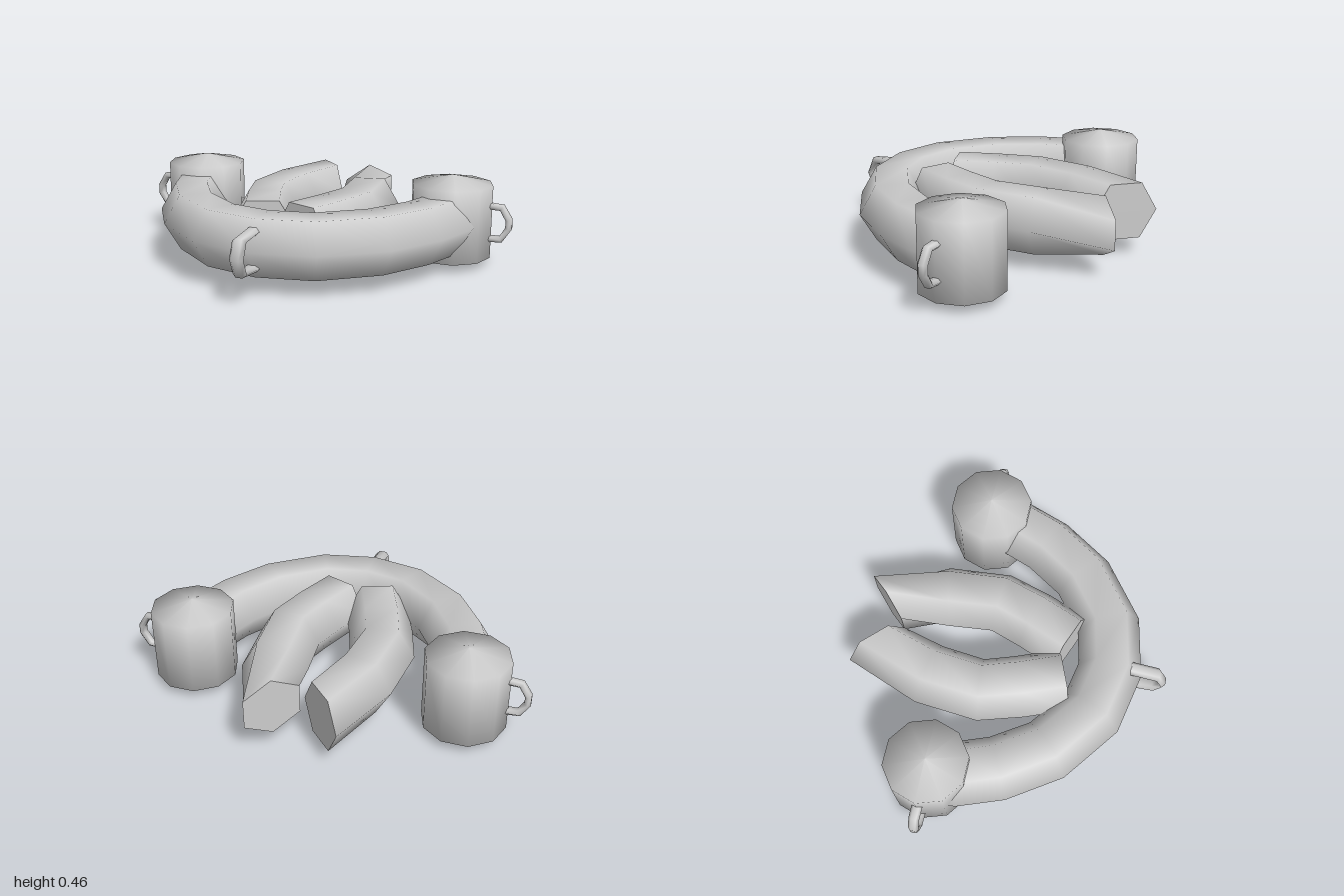
import * as THREE from 'three';

const SIDES = 6;
const MID = 0.228; // height of every centre line
const material = new THREE.MeshStandardMaterial({ color: 0xcccccc, side: THREE.DoubleSide });

// Hexagonal tube along a path in the local XY plane, smooth sides and flat end caps.
// rn: radius in the plane, rb: radius across it.
function sweep(path, rn, rb, { phase = 0, endDir = null, endTwist = 0, endRb = rb } = {}) {
  const pts = path.map(([x, y]) => new THREE.Vector3(x, y, 0));
  const b = new THREE.Vector3(0, 0, 1);
  const last = pts.length - 1;
  const pos = [], index = [];
  const rings = pts.map((c, i) => {
    const before = c.clone().sub(pts[Math.max(i - 1, 0)]).normalize();
    const after = pts[Math.min(i + 1, last)].clone().sub(c).normalize();
    let t = before.add(after).normalize();
    if (i === last && endDir) t = new THREE.Vector3(...endDir, 0).normalize();
    const n = b.clone().cross(t);
    return Array.from({ length: SIDES }, (_, j) => {
      const a = phase + (i === last ? endTwist : 0) + (j / SIDES) * Math.PI * 2;
      return c.clone().addScaledVector(n, Math.cos(a) * rn)
        .addScaledVector(b, Math.sin(a) * (i === last ? endRb : rb));
    });
  });
  rings.forEach((ring) => ring.forEach((p) => pos.push(p.x, p.y, p.z)));
  for (let i = 0; i < last; i++) {
    for (let j = 0; j < SIDES; j++) {
      const k = (j + 1) % SIDES;
      const p = i * SIDES + j, q = i * SIDES + k;
      index.push(p, q, q + SIDES, p, q + SIDES, p + SIDES);
    }
  }
  // Caps own their vertices so their rims stay sharp
  [[rings[0], true], [rings[last], false]].forEach(([ring, flip]) => {
    const s = pos.length / 3;
    ring.forEach((p) => pos.push(p.x, p.y, p.z));
    for (let j = 1; j < SIDES - 1; j++) {
      index.push(s, flip ? s + j + 1 : s + j, flip ? s + j : s + j + 1);
    }
  });
  const g = new THREE.BufferGeometry();
  g.setAttribute('position', new THREE.Float32BufferAttribute(pos, 3));
  g.setIndex(index);
  g.computeVertexNormals();
  return g;
}

// Turns a local XY path into one lying flat, with local y becoming z
const layFlat = (g) => g.rotateX(Math.PI / 2).translate(0, MID, 0);

export function createModel() {
  const group = new THREE.Group();
  const add = (name, geometry) => {
    const mesh = new THREE.Mesh(geometry, material);
    mesh.name = name;
    group.add(mesh);
    return mesh;
  };

  // Curved main tube, running from one drum round the front to the other
  const half = [[0.24, 0.45], [0.47, 0.275], [0.61, 0.06], [0.68, -0.13], [0.69, -0.24]];
  const arc = [...half.map(([x, z]) => [-x, z]).reverse(), [0, 0.5], ...half];
  add('curvedTube', layFlat(sweep(arc, 0.16, 0.16)));

  // Pair of bent prongs, the left one with a twisted end
  const prong = [[0.1, 0.28], [0.18, 0.08], [0.24, -0.11], [0.215, -0.38], [0.115, -0.675]];
  for (const side of [1, -1]) {
    add(side > 0 ? 'leftProng' : 'rightProng', layFlat(sweep(
      prong.map(([x, z]) => [x * side, z]), 0.161, 0.161,
      {
        endDir: [-0.7 * side, -0.7],
        endTwist: side > 0 ? Math.PI / 6 : 0,
        endRb: side > 0 ? 0.145 : 0.161,
      })));
  }

  // Ten-sided drums with shallow cone ends, and a grip on each outer side
  const drumProfile = [[0, 0], [0.205, 0.044], [0.205, 0.411], [0, 0.455]]
    .map(([r, y]) => new THREE.Vector2(r, y));
  const grip = [[0.17, 0.085], [0.255, 0.08], [0.291, 0.022],
    [0.291, -0.022], [0.255, -0.08], [0.17, -0.085]];
  for (const side of [1, -1]) {
    const label = side > 0 ? 'left' : 'right';
    const drum = add(label + 'Drum', new THREE.LatheGeometry(drumProfile, 10, Math.PI / 2));
    drum.position.set(0.69 * side, 0, -0.262);
    const handle = add(label + 'Handle', sweep(grip, 0.018, 0.026, { phase: Math.PI / 2 }));
    handle.position.set(0.69 * side, MID, -0.262);
    handle.rotation.y = side > 0 ? 0 : Math.PI;
  }

  // Grip at the front of the curved tube
  const frontGrip = [[0.56, 0.09], [0.735, 0.075], [0.767, 0], [0.735, -0.075], [0.56, -0.09]];
  const front = add('frontHandle', sweep(frontGrip, 0.02, 0.035, { phase: Math.PI / 2 }));
  front.position.y = MID;
  front.rotation.y = -Math.PI / 2;

  return group;
}
